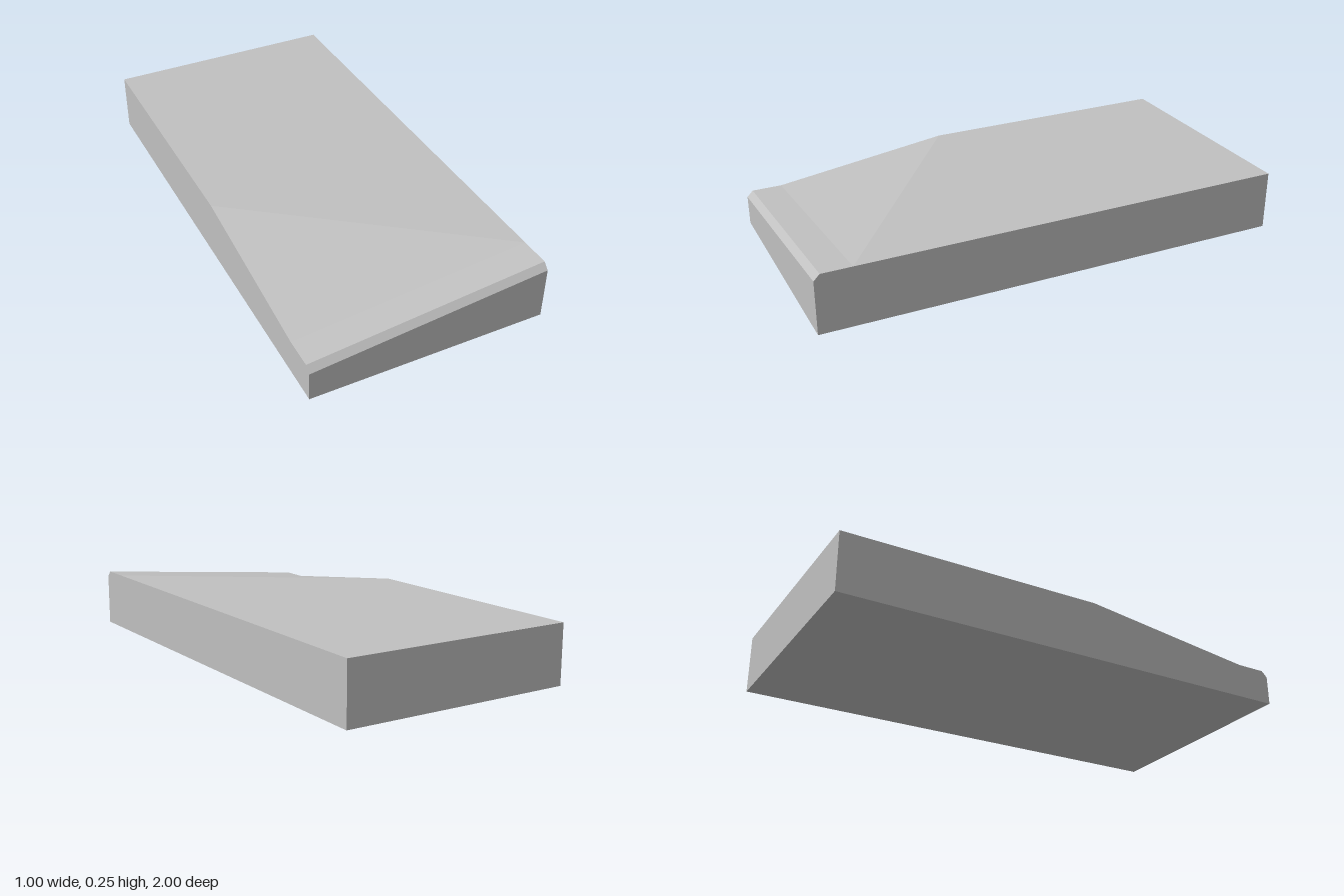
import * as THREE from 'three';

// Side profile as [z, y]; the front lip drops to noseY, the ramp starts at rampZ
const profile = (noseY, rampZ) => [
  [-1, 0], [1, 0], [1, noseY - 0.025], [0.975, noseY],
  [0.85, noseY], [rampZ, 0.25], [-1, 0.25],
];

export function createModel() {
  const group = new THREE.Group();
  const grey = new THREE.MeshStandardMaterial({ color: 0xc0c0c0 });
  grey.name = 'grey';

  const right = profile(0.15, 0.1).map(([z, y]) => new THREE.Vector3(-0.5, y, z));
  const left = profile(0.25, 0.85).map(([z, y]) => new THREE.Vector3(0.5, y, z));
  const points = [];
  const tri = (a, b, c) => {
    if (!a.equals(b) && !b.equals(c) && !c.equals(a)) points.push(a, b, c);
  };

  // Skin between the two profiles; the ramp narrows to a point on the left
  const n = right.length;
  for (let i = 0; i < n; i++) {
    const j = (i + 1) % n;
    tri(right[i], left[i], left[j]);
    tri(right[i], left[j], right[j]);
  }
  // Side walls
  for (let i = 1; i < n - 1; i++) {
    tri(right[0], right[i], right[i + 1]);
    tri(left[0], left[i + 1], left[i]);
  }

  const geometry = new THREE.BufferGeometry().setFromPoints(points);
  geometry.computeVertexNormals();
  const slab = new THREE.Mesh(geometry, grey);
  slab.name = 'rampedSlab';
  group.add(slab);
  return group;
}
